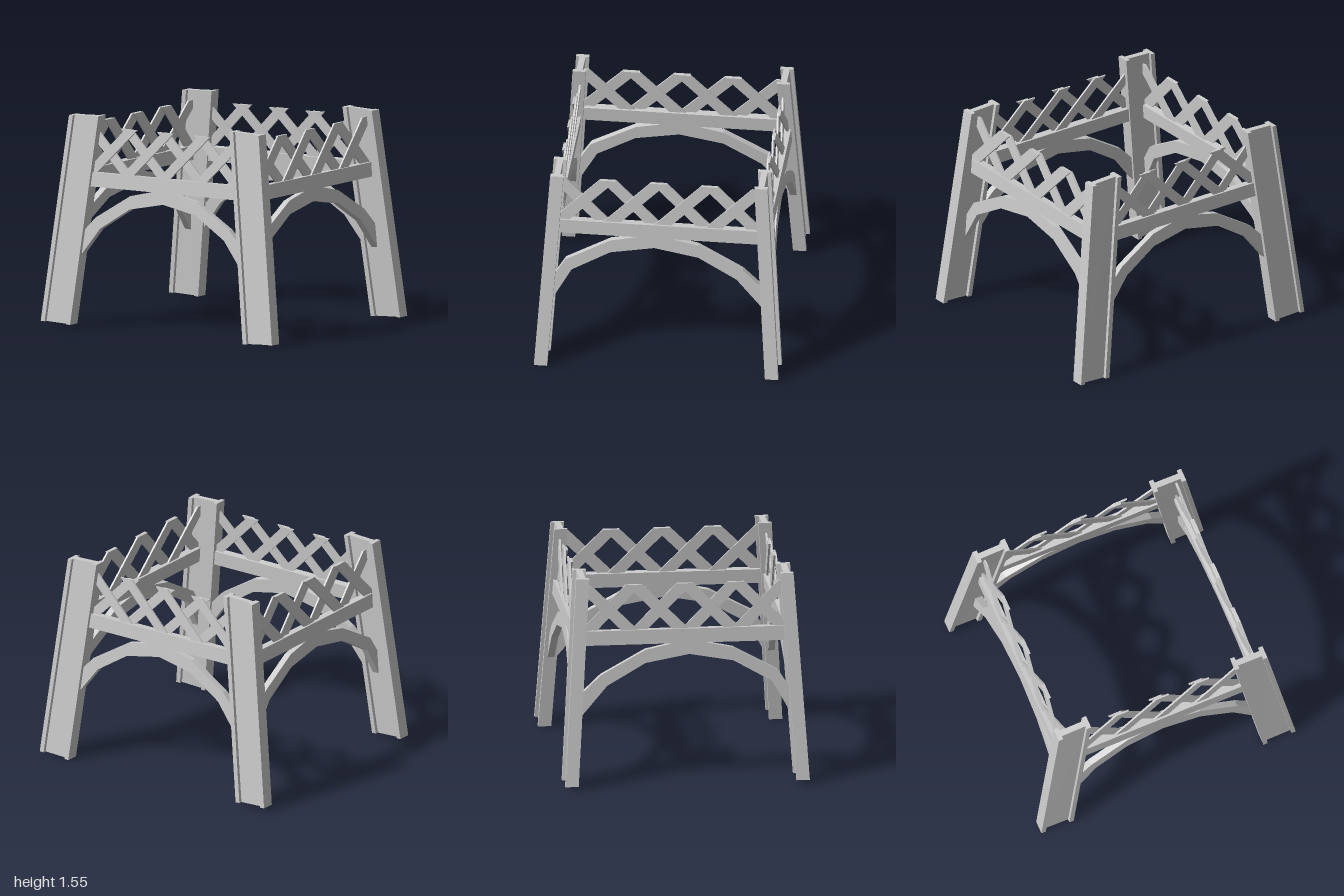
import * as THREE from 'three';

const material = new THREE.MeshStandardMaterial({ color: 0xcccccc, flatShading: true });

function mesh(geometry, name) {
  const m = new THREE.Mesh(geometry, material);
  m.name = name;
  return m;
}

// Flat outline [x, y] extruded to a plate centred on the given depth
function plate(points, thickness, depth, name) {
  const shape = new THREE.Shape(points.map(([x, y]) => new THREE.Vector2(x, y)));
  const g = new THREE.ExtrudeGeometry(shape, { depth: thickness, bevelEnabled: false });
  g.translate(0, 0, depth - thickness / 2);
  return mesh(g, name);
}

// Cuts a convex outline at sign * x = limit
function clip(points, sign, limit) {
  const out = [];
  points.forEach((a, i) => {
    const b = points[(i + 1) % points.length];
    const da = limit - sign * a[0], db = limit - sign * b[0];
    if (da >= 0) out.push(a);
    if (da * db < 0) {
      const t = da / (da - db);
      out.push([a[0] + (b[0] - a[0]) * t, a[1] + (b[1] - a[1]) * t]);
    }
  });
  return out;
}

// Leaning H-section leg: a web plate between two flanges
function createLeg(sx, sz) {
  const leg = new THREE.Group();
  leg.name = 'leg';
  const y0 = sx < 0 ? 0.025 : 0.005, y1 = y0 + 1.515;
  const part = (width, depth, offset, name) => {
    const g = new THREE.BoxGeometry(width, 1, depth);
    g.translate(sx * offset, 0, 0);
    const p = g.attributes.position;
    for (let i = 0; i < p.count; i++) {
      const t = p.getY(i) + 0.5;
      const outward = sx * p.getX(i);
      p.setXYZ(i,
        p.getX(i) + sx * (0.873 - 0.18 * t),
        t > 0.5 ? y1 - 0.04 * outward : y0 + 0.04 * outward,
        p.getZ(i) + sz * (0.84 - 0.098 * t));
    }
    g.computeVertexNormals();
    leg.add(mesh(g, name));
  };
  part(0.2, 0.045, 0, 'web');
  part(0.034, 0.096, 0.11, 'outerFlange');
  part(0.034, 0.096, -0.11, 'innerFlange');
  return leg;
}

// Half arch outlines from the crown outwards
const archLower = [[0.285, 0.89], [0.535, 0.73], [0.7, 0.515]];
const archUpper = [[0.69, 0.69], [0.575, 0.81], [0.285, 0.987]];

// One side of the frame: beam, arch and crossed lattice in a slightly leaning plane
function createPanel({ name, half, stretch, archShift, bay, latticeShift, barWidth, limit, flip, offset }) {
  const panel = new THREE.Group();
  panel.name = name;

  const beam = mesh(new THREE.BoxGeometry(half * 2, 0.105, 0.06), 'beam');
  beam.position.y = 1.083;
  panel.add(beam);

  const place = s => ([x, y]) => [s * x * stretch + flip * archShift, y];
  const outline = [
    [flip * archShift, 0.947],
    ...archLower.map(place(1)), ...archUpper.map(place(1)),
    [flip * archShift, 1.055],
    ...[...archUpper].reverse().map(place(-1)), ...[...archLower].reverse().map(place(-1)),
  ].map(([x, y]) => [Math.max(-limit, Math.min(limit, x)), y]);
  panel.add(plate(outline, 0.05, 0, 'arch'));

  // Crossing bars, each direction in its own layer
  const yMid = 1.283, yLow = 1.09, yTop = 1.467, w = barWidth / 2;
  for (let i = 0; i < 4; i++) {
    const c = flip * latticeShift + (i - 1.5) * bay;
    for (const dir of [-1, 1]) {
      const low = c + dir * (yLow - yMid), top = c + dir * (yTop - yMid);
      let bar = [[low - w, yLow], [low + w, yLow], [top + w, yTop], [top - w, yTop]];
      bar = clip(clip(bar, 1, limit), -1, limit);
      panel.add(plate(bar, 0.014, dir * flip * 0.007, 'latticeBar'));
    }
  }
  panel.rotation.x = -0.065;
  panel.position.z = offset;
  return panel;
}

export function createModel() {
  const model = new THREE.Group();
  model.name = 'towerBase';

  for (const sx of [-1, 1]) for (const sz of [-1, 1]) model.add(createLeg(sx, sz));

  const wide = {
    half: 0.63, stretch: 1, archShift: 0, bay: 0.315, latticeShift: -0.015,
    barWidth: 0.1, limit: 0.72, offset: 0.837,
  };
  const deep = {
    half: 0.725, stretch: 1.12, archShift: -0.035, bay: 0.37, latticeShift: -0.01,
    barWidth: 0.12, limit: 0.755, offset: 0.84,
  };
  const sides = [
    ['frontPanel', wide, 0, 1], ['backPanel', wide, Math.PI, -1],
    ['leftPanel', deep, Math.PI / 2, 1], ['rightPanel', deep, -Math.PI / 2, -1],
  ];
  for (const [name, spec, angle, flip] of sides) {
    const side = new THREE.Group();
    side.name = name + 'Side';
    side.rotation.y = angle;
    side.add(createPanel({ ...spec, name, flip }));
    model.add(side);
  }
  return model;
}
